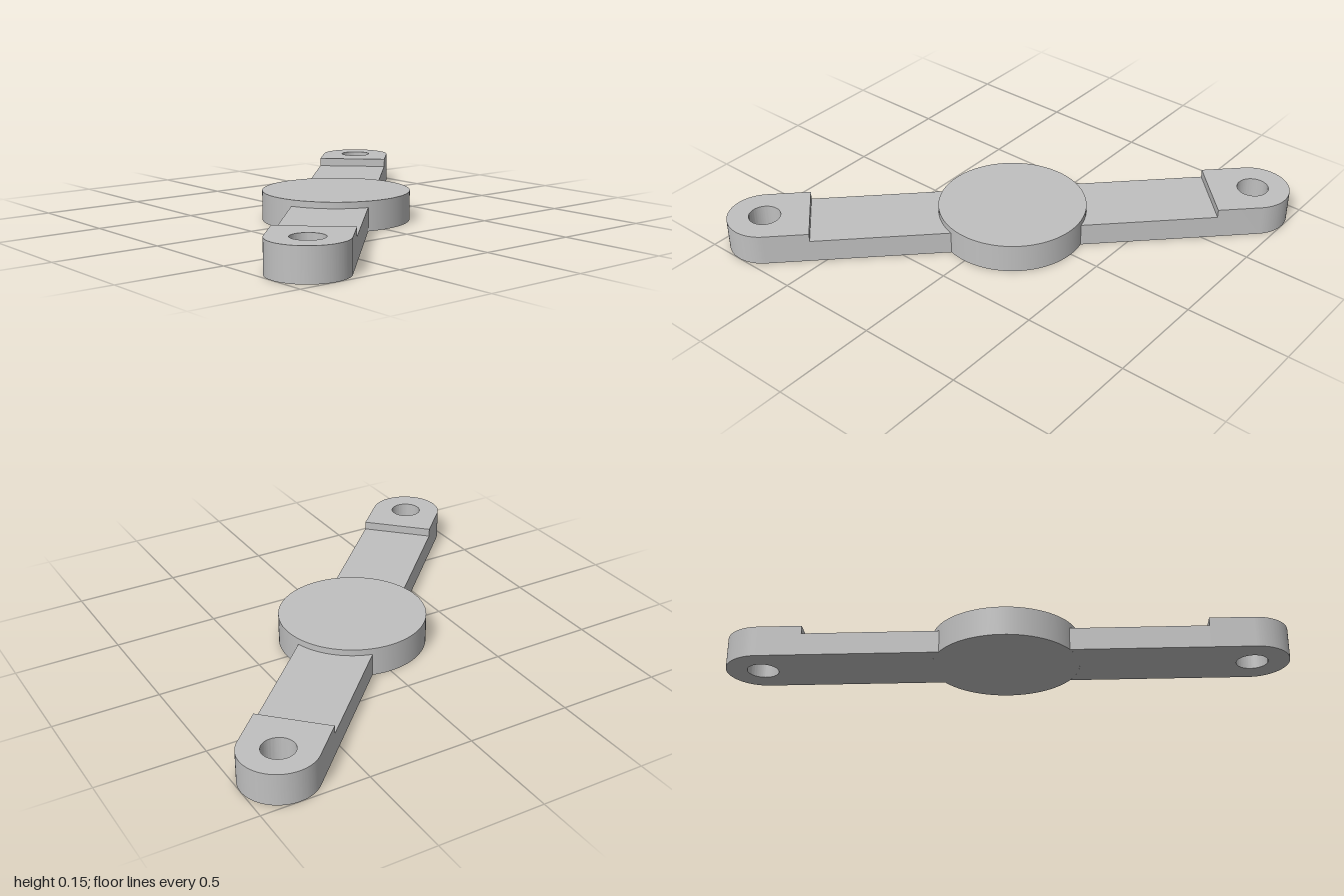
import * as THREE from 'three';
import { toCreasedNormals } from 'three/addons/utils/BufferGeometryUtils.js';

const HALF = 0.176;      // half width of the arm and radius of its rounded end
const HUB_R = 0.352;
const HOLE_X = 1.165;    // hub centre to hole centre, along the arm
const STEP_X = 0.955;    // where the raised end pad begins

// Extrudes a plan outline upward from y = 0
function plate(shape, height) {
  const g = new THREE.ExtrudeGeometry(shape, { depth: height, bevelEnabled: false, curveSegments: 48 });
  g.rotateX(-Math.PI / 2);
  return toCreasedNormals(g, 0.5);
}

export function createModel() {
  const model = new THREE.Group();
  model.name = 'twoArmBracket';
  const grey = new THREE.MeshStandardMaterial({ color: 0xc0c0c0 });
  grey.name = 'plain grey';

  // Central disc
  const hub = new THREE.Mesh(new THREE.CylinderGeometry(HUB_R, HUB_R, 0.14, 96), grey);
  hub.name = 'hubDisc';
  hub.position.y = 0.07;
  model.add(hub);

  // Flat bar whose inner end follows the disc
  const a = Math.asin(HALF / HUB_R);
  const barShape = new THREE.Shape();
  barShape.moveTo(HUB_R * Math.cos(a), -HALF);
  barShape.lineTo(STEP_X, -HALF);
  barShape.lineTo(STEP_X, HALF);
  barShape.lineTo(HUB_R * Math.cos(a), HALF);
  barShape.absarc(0, 0, HUB_R, a, -a, true);
  const barGeometry = plate(barShape, 0.11);

  // Thicker rounded end with a through hole
  const padShape = new THREE.Shape();
  padShape.moveTo(STEP_X, -HALF);
  padShape.lineTo(HOLE_X, -HALF);
  padShape.absarc(HOLE_X, 0, HALF, -Math.PI / 2, Math.PI / 2, false);
  padShape.lineTo(STEP_X, HALF);
  padShape.closePath();
  const hole = new THREE.Path();
  hole.absarc(HOLE_X, 0, 0.075, 0, Math.PI * 2, true);
  padShape.holes.push(hole);
  const padGeometry = plate(padShape, 0.15);

  // Two opposite arms on the diagonal
  [['frontArm', 0], ['backArm', Math.PI]].forEach(([name, turn]) => {
    const arm = new THREE.Group();
    arm.name = name;
    const bar = new THREE.Mesh(barGeometry, grey);
    bar.name = 'armBar';
    const pad = new THREE.Mesh(padGeometry, grey);
    pad.name = 'endPad';
    arm.add(bar, pad);
    arm.rotation.y = turn - Math.PI / 4;
    model.add(arm);
  });

  return model;
}
